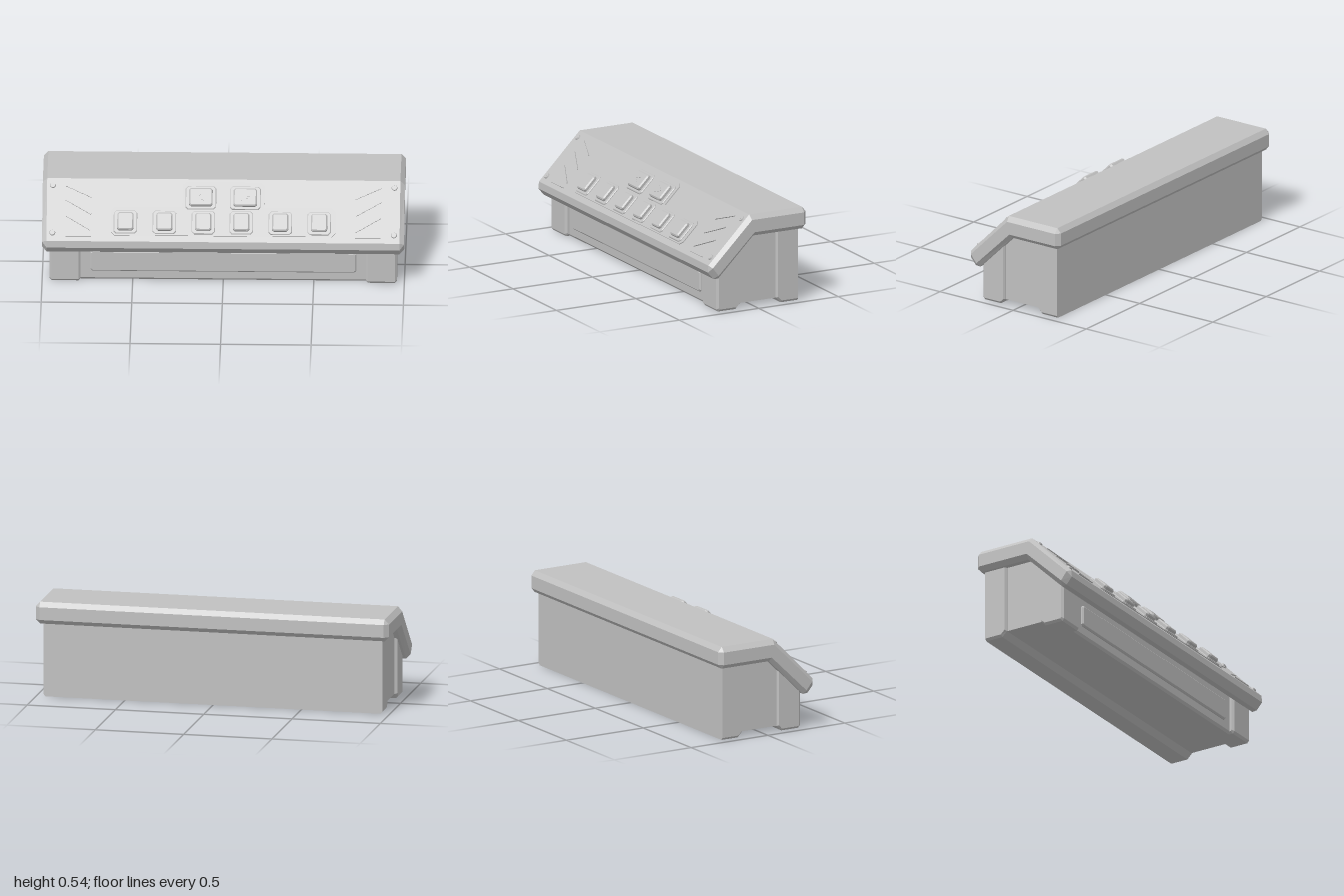
import * as THREE from 'three';

const V2 = (x, y) => new THREE.Vector2(x, y);

// Joins side profiles, given as [z, y], at falling x positions, and caps both ends
function loft(sections) {
  const loops = sections.map(({ x, pts }) => {
    const p = pts.slice();
    if (THREE.ShapeUtils.area(p.map(([z, y]) => V2(-z, y))) < 0) p.reverse();
    return p.map(([z, y]) => [x, y, z]);
  });
  const out = [];
  const n = loops[0].length;
  for (let i = 0; i < loops.length - 1; i++) {
    for (let j = 0; j < n; j++) {
      const k = (j + 1) % n;
      const a = loops[i][j], b = loops[i][k], c = loops[i + 1][k], d = loops[i + 1][j];
      out.push(...a, ...d, ...c, ...a, ...c, ...b);
    }
  }
  const first = loops[0], last = loops[loops.length - 1];
  for (const [a, b, c] of THREE.ShapeUtils.triangulateShape(first.map(([, y, z]) => V2(-z, y)), [])) {
    out.push(...first[a], ...first[b], ...first[c]);
    out.push(...last[a], ...last[c], ...last[b]);
  }
  const g = new THREE.BufferGeometry();
  g.setAttribute('position', new THREE.Float32BufferAttribute(out, 3));
  g.computeVertexNormals();
  return g;
}

// Prism across x whose ends shrink from the full to the small profile
function bevelPrism(x0, x1, bevel, full, small) {
  return loft([
    { x: x1, pts: small }, { x: x1 - bevel, pts: full },
    { x: x0 + bevel, pts: full }, { x: x0, pts: small },
  ]);
}

// Plate in the xy plane rising along z, with one bevel round its top
function plate(points, height, bevel) {
  const g = new THREE.ExtrudeGeometry(new THREE.Shape(points.map(([x, y]) => V2(x, y))), {
    depth: height - bevel, bevelEnabled: bevel > 0, bevelThickness: bevel,
    bevelSize: bevel, bevelOffset: -bevel, bevelSegments: 1,
  });
  return g;
}

// Rectangle outline with cut corners
function cutRect(w, h, c) {
  const a = w / 2, b = h / 2;
  return [[a - c, -b], [a, -b + c], [a, b - c], [a - c, b],
    [-a + c, b], [-a, b - c], [-a, -b + c], [-a + c, -b]];
}

export function createModel() {
  const model = new THREE.Group();
  model.name = 'controlConsole';
  const grey = new THREE.MeshStandardMaterial({ color: 0xc0c0c0 });
  grey.name = 'grey';

  const add = (parent, name, geometry, x = 0, y = 0, z = 0) => {
    const mesh = new THREE.Mesh(geometry, grey);
    mesh.name = name;
    mesh.position.set(x, y, z);
    parent.add(mesh);
    return mesh;
  };

  // Bent hood with chamfered edges
  add(model, 'hood', bevelPrism(-1, 1, 0.025,
    [[0.047, 0.539], [-0.285, 0.539], [-0.308, 0.512], [-0.308, 0.44], [-0.285, 0.415],
      [0.022, 0.415], [0.243, 0.197], [0.273, 0.2], [0.307, 0.24], [0.304, 0.28]],
    [[0.042, 0.512], [-0.285, 0.512], [-0.285, 0.512], [-0.285, 0.44], [-0.285, 0.44],
      [0.026, 0.44], [0.252, 0.221], [0.252, 0.221], [0.289, 0.268], [0.289, 0.268]]));

  // Recessed core between the front and rear supports
  const core = [[0.11, 0.03], [0.11, 0.35], [0.03, 0.43], [-0.2, 0.43], [-0.2, 0.03]];
  add(model, 'bodyCore', loft([{ x: 0.945, pts: core }, { x: -0.945, pts: core }]));

  // Rear body, flat at the back
  add(model, 'rearBody', bevelPrism(-0.96, 0.96, 0.012,
    [[-0.27, 0.43], [-0.27, 0], [-0.165, 0], [-0.135, 0.03], [-0.135, 0.43]],
    [[-0.27, 0.43], [-0.27, 0.013], [-0.168, 0.013], [-0.143, 0.036], [-0.143, 0.43]]));

  // Front corner legs
  const legFull = [[0.24, 0.013], [0.228, 0], [0.12, 0], [0.09, 0.03], [0.09, 0.37], [0.24, 0.22]];
  const legSmall = [[0.228, 0.02], [0.222, 0.013], [0.117, 0.013], [0.097, 0.034], [0.097, 0.363], [0.228, 0.232]];
  add(model, 'leftFrontLeg', bevelPrism(0.787, 0.96, 0.012, legFull, legSmall));
  add(model, 'rightFrontLeg', bevelPrism(-0.96, -0.787, 0.012, legFull, legSmall));

  // Front wall between the legs, with its raised panel
  const wall = [[0.215, 0.013], [0.203, 0], [0.12, 0], [0.09, 0.03], [0.09, 0.37], [0.215, 0.245]];
  add(model, 'frontWall', loft([{ x: 0.8, pts: wall }, { x: -0.8, pts: wall }]));
  add(model, 'frontPanel', plate(cutRect(1.47, 0.126, 0.012), 0.014, 0.008), 0, 0.12, 0.214);

  // Sloping control face: local y runs up the slope, local z points out of it
  const face = new THREE.Group();
  face.name = 'controlFace';
  face.position.set(0, 0.41, 0.1755);
  face.rotation.x = -Math.PI / 4;
  model.add(face);
  const up = (y) => (y - 0.41) * Math.SQRT2;

  // Stepped backing plate for both rows of keys
  const half = [[0.6, -0.148], [0.62, -0.128], [0.62, -0.003], [0.6, 0.017],
    [0.225, 0.017], [0.225, 0.148], [0.205, 0.163]];
  add(face, 'keyPlate', plate([...half, ...half.map(([x, y]) => [-x, y]).reverse()], 0.005, 0), 0, 0, 0);

  // Keys on their bases
  const key = (x, y, width) => {
    const group = new THREE.Group();
    group.name = 'key';
    group.position.set(x, y, 0);
    face.add(group);
    add(group, 'keyBase', plate(cutRect(width + 0.04, 0.134, 0.014), 0.012, 0.004));
    add(group, 'keyCap', plate(cutRect(width, 0.102, 0.01), 0.032, 0.007), 0, 0, 0.001);
    return group;
  };
  for (const x of [-0.54, -0.325, -0.11, 0.1, 0.315, 0.53]) key(x, -0.072, 0.09);
  for (const [x, s] of [[-0.125, -1], [0.12, 1]]) {
    const group = key(x, 0.072, 0.13);
    // Chevron ridge pointing outwards
    for (const t of [-1, 1]) {
      const bar = add(group, 'chevronBar', new THREE.BoxGeometry(0.05, 0.004, 0.003), 0, t * 0.012, 0.033);
      bar.rotation.z = -s * t * 0.46;
    }
  }

  for (const s of [-1, 1]) {
    // Slanted ribs at each end
    for (const [ya, yb] of [[0.508, 0.462], [0.45, 0.392], [0.385, 0.325], [0.302, 0.302]]) {
      const a = V2(s * 0.87, up(ya)), b = V2(s * 0.73, up(yb));
      const rib = add(face, 'rib', new THREE.BoxGeometry(a.distanceTo(b), 0.006, 0.007),
        (a.x + b.x) / 2, (a.y + b.y) / 2, 0.002);
      rib.rotation.z = Math.atan((b.y - a.y) / (b.x - a.x));
    }
    // Corner screws with a slot ridge
    for (const y of [0.51, 0.315]) {
      const screw = add(face, 'screw', new THREE.CylinderGeometry(0.014, 0.017, 0.008, 16), s * 0.943, up(y), 0.003);
      screw.rotation.x = Math.PI / 2;
      add(face, 'screwSlot', new THREE.BoxGeometry(0.02, 0.004, 0.003), s * 0.943, up(y), 0.007);
    }
  }
  return model;
}
